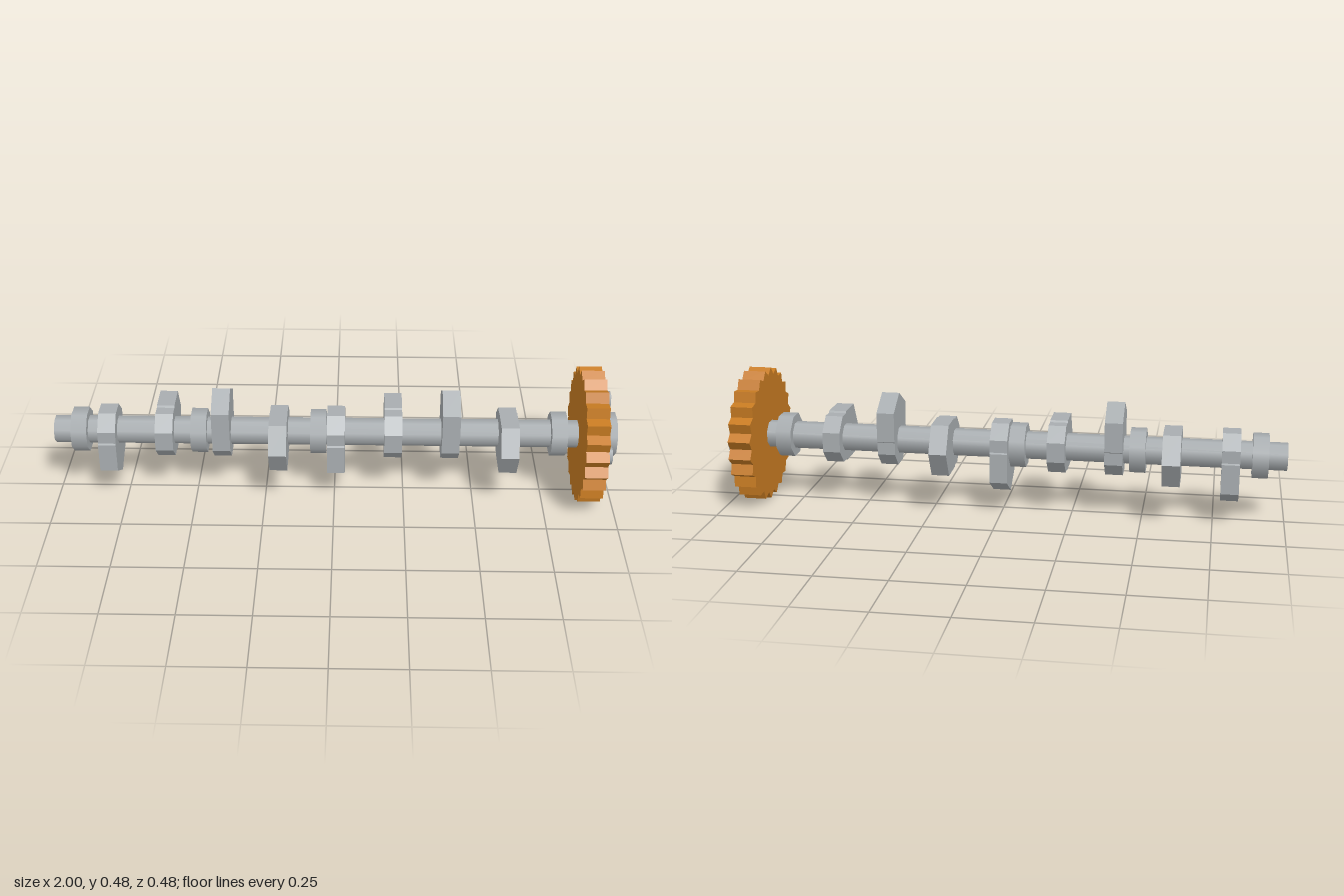
import * as THREE from 'three';

const AXIS_Y = 0.243;

export function createModel() {
  const steel = new THREE.MeshStandardMaterial({ color: 0xa8adb0 });
  steel.name = 'steel';
  const bronze = new THREE.MeshStandardMaterial({ color: 0xc77b22 });
  bronze.name = 'bronze';

  const model = new THREE.Group();
  model.name = 'camshaft';
  const rotor = new THREE.Group();
  rotor.name = 'rotatingAssembly';
  rotor.position.y = AXIS_Y;
  model.add(rotor);

  const add = (name, geometry, material) => {
    const mesh = new THREE.Mesh(geometry, material);
    mesh.name = name;
    rotor.add(mesh);
    return mesh;
  };

  // Prism lying along x between x0 and x1
  const bar = (radius, sides, x0, x1, turn = 0) =>
    new THREE.CylinderGeometry(radius, radius, x1 - x0, sides)
      .rotateY(turn)
      .rotateZ(-Math.PI / 2)
      .translate((x0 + x1) / 2, 0, 0);

  // Plate cut from an outline, centred on x = 0 with its thickness along x
  const plate = (points, thickness) =>
    new THREE.ExtrudeGeometry(
      new THREE.Shape(points.map(([x, y]) => new THREE.Vector2(x, y))),
      { depth: thickness, bevelEnabled: false }
    ).translate(0, 0, -thickness / 2).rotateY(Math.PI / 2);

  // Shaft, bearing journals and end hub
  const flat = Math.PI / 8;
  add('shaft', bar(0.0495, 8, -1, 0.99, flat), steel);
  for (const x of [-0.907, -0.482, -0.057, 0.797]) {
    add('journal', bar(0.08, 8, x - 0.028, x + 0.028, flat), steel);
  }
  add('endHub', bar(0.08, 8, 0.93, 1, flat), steel);

  // Cam lobes: octagonal heel with a pointed nose, turned in quarter steps
  const half = [
    [0.0354, -0.0855], [0.0855, -0.0354], [0.0855, 0.009],
    [0.092, 0.013], [0.092, 0.119],
  ];
  const outline = [...half, [0, 0.173], ...half.map(([x, y]) => [-x, y]).reverse()];
  const lobeGeometry = plate(outline, 0.063);
  const DOWN = Math.PI, BACK = -Math.PI / 2, UP = 0, FRONT = Math.PI / 2;
  [DOWN, BACK, UP, FRONT, DOWN, BACK, UP, FRONT].forEach((angle, i) => {
    const lobe = add('camLobe', lobeGeometry, steel);
    lobe.position.x = -0.806 + i * 0.203;
    lobe.rotation.x = angle;
  });

  // Timing gear with 24 pointed teeth
  const teeth = 24;
  const rim = [];
  for (let i = 0; i < teeth * 2; i++) {
    const a = (i * Math.PI) / teeth;
    const r = i % 2 ? 0.2425 : 0.2185;
    rim.push([r * Math.cos(a), r * Math.sin(a)]);
  }
  add('timingGear', plate(rim, 0.08), bronze).position.x = 0.907;

  // Four hexagonal gear bolts
  const boltGeometry = bar(0.0315, 6, 0.94, 0.97);
  for (let i = 0; i < 4; i++) {
    const a = (i * Math.PI) / 2;
    add('gearBolt', boltGeometry, steel)
      .position.set(0, 0.142 * Math.cos(a), 0.142 * Math.sin(a));
  }

  return model;
}
